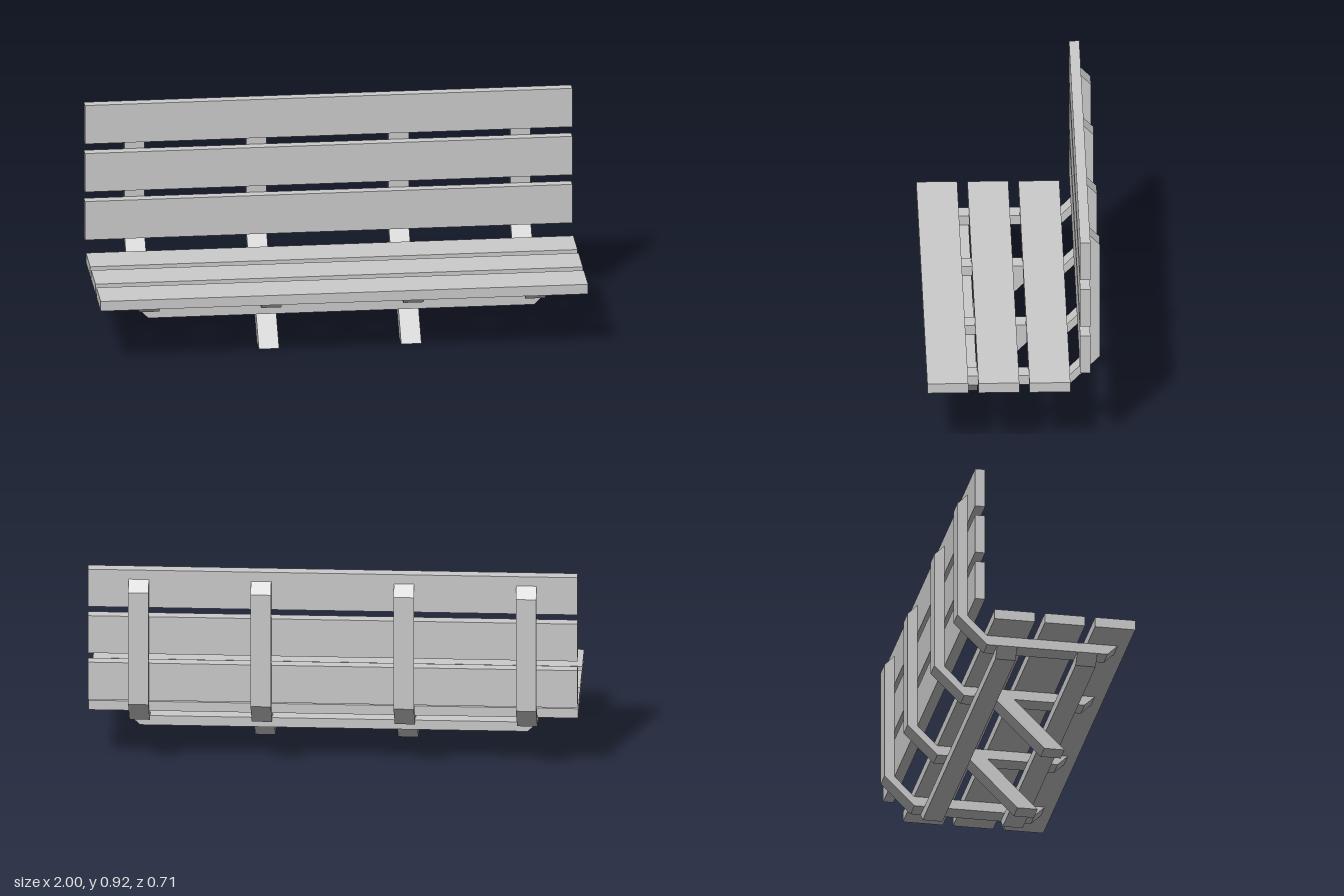
import * as THREE from 'three';

const material = new THREE.MeshStandardMaterial({ color: 0xcccccc, flatShading: true });

// Extrudes a side profile of [z, y] points across x, centred on x = 0
function sideProfile(points, width) {
  const shape = new THREE.Shape(points.map(([z, y]) => new THREE.Vector2(z, y)));
  const geometry = new THREE.ExtrudeGeometry(shape, { depth: width, bevelEnabled: false });
  return geometry.translate(0, 0, -width / 2).rotateY(-Math.PI / 2);
}

export function createModel() {
  const bench = new THREE.Group();
  bench.name = 'bench';

  function add(name, geometry, x, y, z) {
    const mesh = new THREE.Mesh(geometry, material);
    mesh.name = name;
    mesh.position.set(x, y, z);
    bench.add(mesh);
  }

  // Three seat planks and three backrest planks
  const seatPlank = new THREE.BoxGeometry(2, 0.042, 0.167);
  const backPlank = new THREE.BoxGeometry(2, 0.167, 0.042);
  for (let i = 0; i < 3; i++) {
    add('seatPlank' + (i + 1), seatPlank, 0, 0.271, 0.271 - i * 0.2085);
    add('backPlank' + (i + 1), backPlank, 0, 0.417 + i * 0.2085, -0.29);
  }

  // Bent brackets carrying the seat and the backrest
  const bracket = sideProfile([
    [0.313, 0.25], [0.271, 0.209], [-0.229, 0.209], [-0.353, 0.333],
    [-0.353, 0.834], [-0.311, 0.876], [-0.311, 0.333], [-0.229, 0.25],
  ], 0.083);
  for (const x of [-0.792, -0.292, 0.292, 0.792]) add('bracket', bracket, x, 0, 0);

  // Slanted legs under the two inner brackets
  const leg = sideProfile([[0.188, 0], [0.104, 0], [-0.104, 0.209], [-0.021, 0.209]], 0.083);
  add('leftLeg', leg, 0.292, 0, 0);
  add('rightLeg', leg, -0.292, 0, 0);

  // Long cross beams with chamfered ends
  const beamShape = new THREE.Shape([
    [-0.834, 0.209], [-0.792, 0.167], [0.792, 0.167], [0.834, 0.209],
  ].map(([x, y]) => new THREE.Vector2(x, y)));
  const beam = new THREE.ExtrudeGeometry(beamShape, { depth: 0.083, bevelEnabled: false });
  add('frontBeam', beam, 0, 0, 0.146);
  add('backBeam', beam, 0, 0, -0.187);

  return bench;
}
